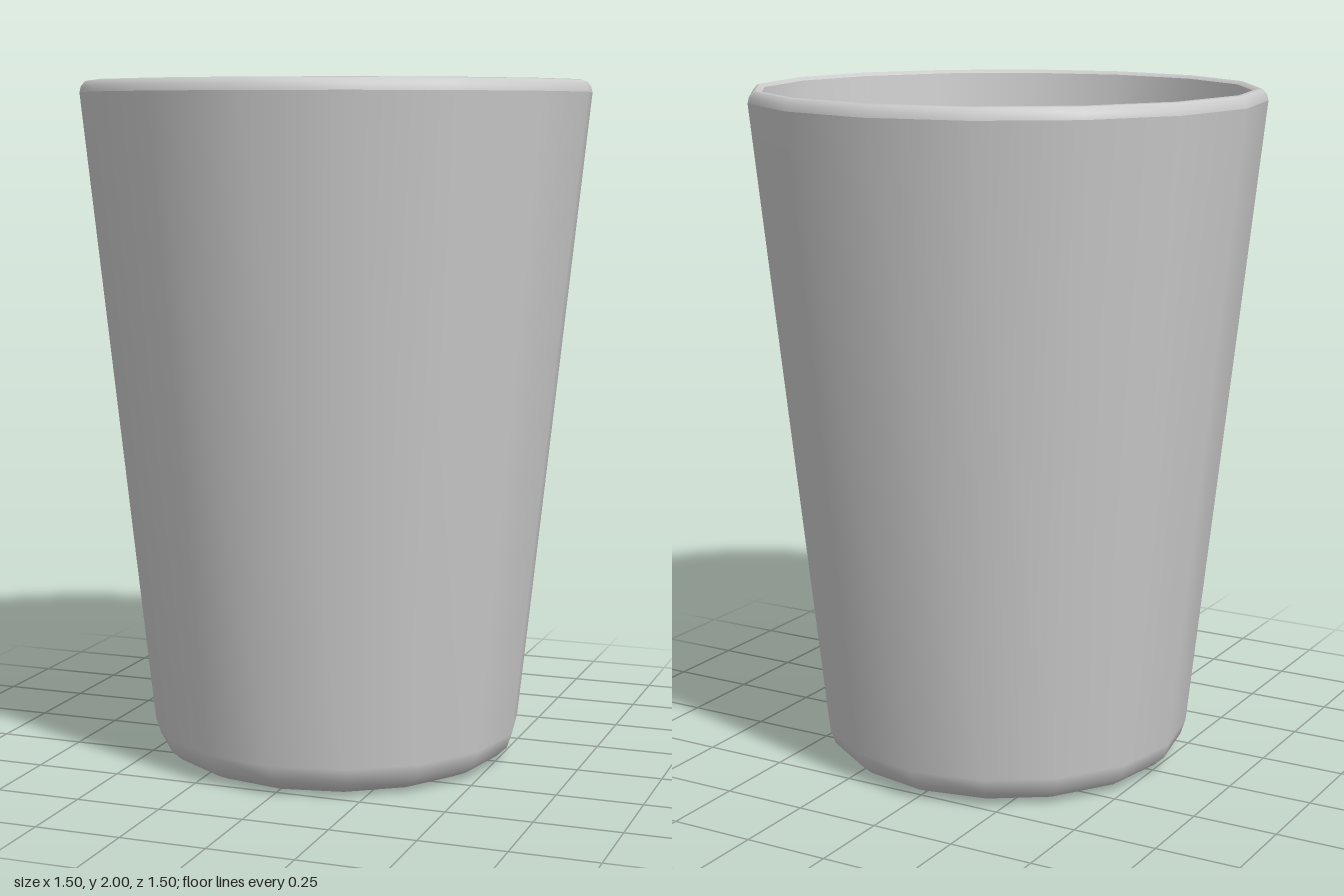
import * as THREE from 'three';

const SIDES = 16;

export function createModel() {
  const model = new THREE.Group();
  model.name = 'cup';
  const material = new THREE.MeshStandardMaterial({ color: 0xcccccc });

  // Each part is a smooth band of revolution; edges between bands stay sharp.
  // Profiles are [radius, height], running from the base up, over the rim and back down inside.
  const parts = {
    base: [[0, 0], [0.465, 0]],
    outerWall: [[0.465, 0], [0.505, 0.018], [0.535, 0.045], [0.55, 0.09], [0.75, 1.965]],
    rim: [[0.75, 1.965], [0.746, 1.982], [0.734, 1.997], [0.724, 2], [0.712, 1.99]],
    innerWall: [[0.712, 1.99], [0.485, 0.1]],
    // The floor rises very slightly towards its middle
    innerFloor: [[0.485, 0.1], [0.4, 0.103], [0.33, 0.112], [0.25, 0.117], [0, 0.118]],
  };

  for (const [name, profile] of Object.entries(parts)) {
    const points = profile.map(([r, y]) => new THREE.Vector2(r, y));
    const mesh = new THREE.Mesh(new THREE.LatheGeometry(points, SIDES), material);
    mesh.name = name;
    model.add(mesh);
  }
  return model;
}
